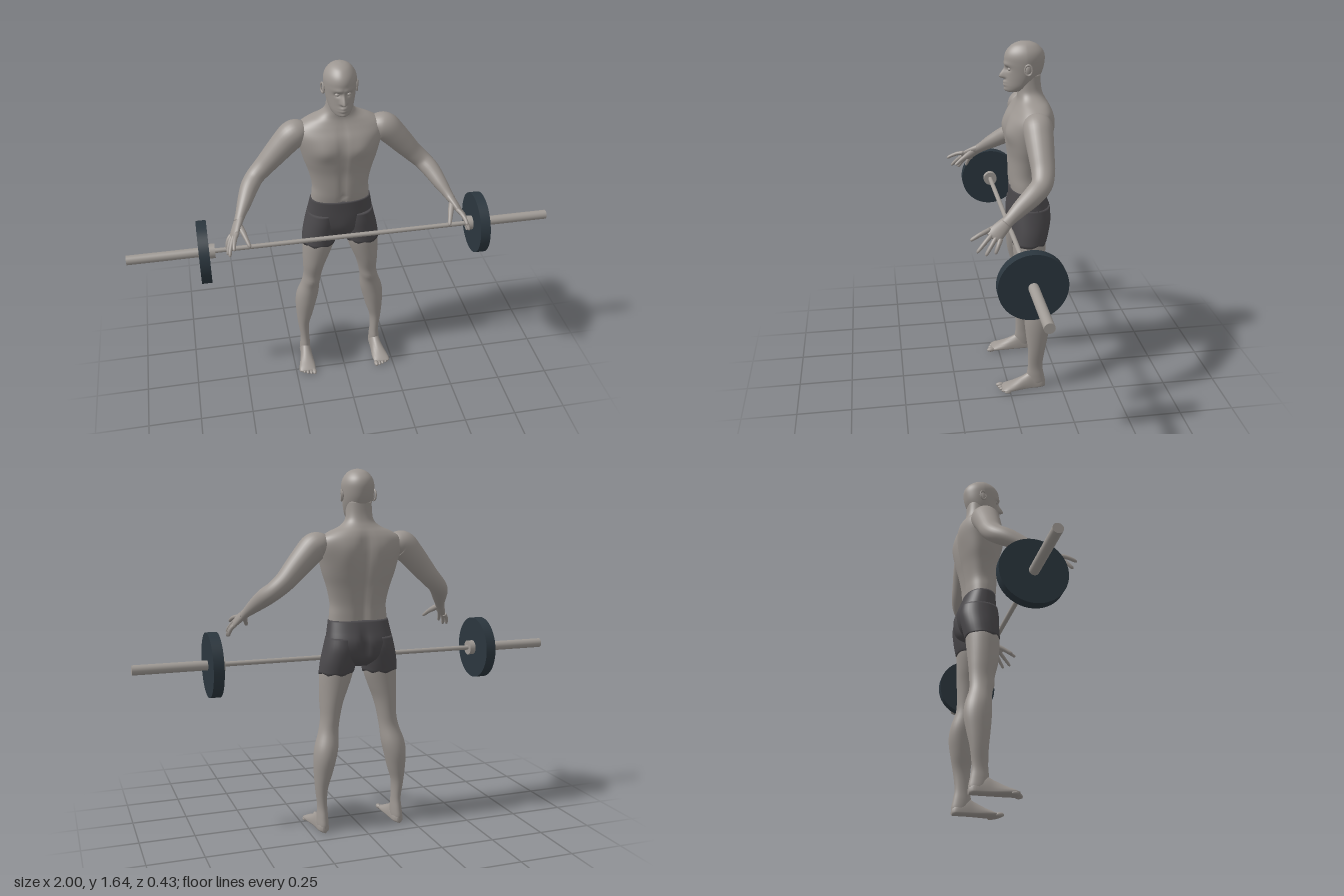
import * as THREE from 'three';

const mat = (name, color) => Object.assign(new THREE.MeshStandardMaterial({ color }), { name });
const bump = (d, w) => Math.exp(-((d / w) ** 2));

// Catmull-Rom interpolation between rows of numbers
function smoothRows(rows, steps) {
  const out = [];
  const last = rows.length - 1;
  const at = (i) => rows[Math.max(0, Math.min(last, i))];
  for (let i = 0; i < last; i++) {
    for (let s = 0; s < steps; s++) {
      const t = s / steps;
      out.push(rows[i].map((b, k) => {
        const a = at(i - 1)[k], c = at(i + 1)[k], d = at(i + 2)[k];
        return b + 0.5 * t * (c - a + t * (2 * a - 5 * b + 4 * c - d + t * (3 * (b - c) + d - a)));
      }));
    }
  }
  out.push(rows[last]);
  return out;
}

// Closed skin through rings of Vector3, always wound outwards
function skin(rings) {
  const n = rings[0].length, pos = [], idx = [];
  rings.forEach((r) => r.forEach((p) => pos.push(p.x, p.y, p.z)));
  for (let i = 0; i < rings.length - 1; i++) {
    for (let j = 0; j < n; j++) {
      const a = i * n + j, b = i * n + (j + 1) % n;
      idx.push(a, b, a + n, b, b + n, a + n);
    }
  }
  [0, rings.length - 1].forEach((r, end) => {
    const c = rings[r].reduce((s, p) => s.add(p), new THREE.Vector3()).divideScalar(n);
    const k = pos.length / 3;
    pos.push(c.x, c.y, c.z);
    for (let j = 0; j < n; j++) {
      const a = r * n + j, b = r * n + (j + 1) % n;
      if (end) idx.push(a, b, k); else idx.push(b, a, k);
    }
  });
  const v = (i) => new THREE.Vector3().fromArray(pos, i * 3);
  let volume = 0;
  for (let i = 0; i < idx.length; i += 3) volume += v(idx[i]).dot(v(idx[i + 1]).cross(v(idx[i + 2])));
  if (volume < 0) idx.reverse();
  const g = new THREE.BufferGeometry();
  g.setAttribute('position', new THREE.Float32BufferAttribute(pos, 3));
  g.setIndex(idx);
  g.computeVertexNormals();
  return g;
}

// Upright form from rows [y, centreX, centreZ, radiusX, radiusZ]
function upright(rows, { seg = 32, steps = 4, power = 1, sculpt } = {}) {
  return skin(smoothRows(rows, steps).map(([y, cx, cz, rx, rz]) =>
    Array.from({ length: seg }, (_, j) => {
      const a = (j / seg) * Math.PI * 2, c = Math.cos(a), s = Math.sin(a);
      const p = new THREE.Vector3(
        cx + rx * Math.sign(c) * Math.abs(c) ** power, y,
        cz + rz * Math.sign(s) * Math.abs(s) ** power);
      if (sculpt) sculpt(p, s);
      return p;
    })));
}

// Rows [y, halfWidth, zFront, zBack] to centred upright rows
const trunk = (rows) => rows.map(([y, w, f, b]) => [y, 0, (f + b) / 2, w, (f - b) / 2]);

// Limb along a path of rows [x, y, z, radiusA, radiusB]
function limb(rows, seg = 20, steps = 5) {
  const rs = smoothRows(rows, steps);
  const P = rs.map((r) => new THREE.Vector3(r[0], r[1], r[2]));
  return skin(rs.map((r, i) => {
    const t = P[Math.min(i + 1, P.length - 1)].clone().sub(P[Math.max(i - 1, 0)]).normalize();
    const u = t.clone().cross(new THREE.Vector3(0, 0, 1)).normalize();
    const w = t.clone().cross(u);
    return Array.from({ length: seg }, (_, j) => {
      const a = (j / seg) * Math.PI * 2;
      return P[i].clone().addScaledVector(u, Math.cos(a) * r[3]).addScaledVector(w, Math.sin(a) * r[4]);
    });
  }));
}

export function createModel() {
  const model = new THREE.Group();
  const skinMat = mat('skin', 0x9c9691), shortsMat = mat('shorts', 0x4b494c);
  const plateMat = mat('plate', 0x2b363e), steelMat = mat('steel', 0x9f9a95);
  const add = (name, geometry, material, parent = model) => {
    const m = new THREE.Mesh(geometry, material);
    m.name = name;
    parent.add(m);
    return m;
  };
  const ball = (name, parent, x, y, z, rx, ry, rz) => {
    const m = add(name, new THREE.SphereGeometry(1, 16, 12), skinMat, parent);
    m.position.set(x, y, z);
    m.scale.set(rx, ry, rz);
    return m;
  };

  // Torso and neck, with chest, navel line and spine
  add('torso', upright(trunk([
    [0.955, 0.136, -0.032, -0.172], [1.0, 0.134, -0.025, -0.174], [1.05, 0.131, -0.022, -0.178],
    [1.12, 0.146, -0.02, -0.19], [1.18, 0.166, -0.012, -0.204], [1.24, 0.182, -0.008, -0.214],
    [1.3, 0.197, -0.018, -0.217], [1.34, 0.187, -0.04, -0.21], [1.368, 0.145, -0.055, -0.198],
    [1.39, 0.095, -0.062, -0.184], [1.415, 0.066, -0.062, -0.172], [1.45, 0.058, -0.06, -0.165],
    [1.5, 0.056, -0.06, -0.163]]), {
    seg: 72, power: 0.88, sculpt: (p, s) => {
      const ax = Math.abs(p.x), body = THREE.MathUtils.smoothstep(1.4 - p.y, 0, 0.1);
      if (s > 0) {
        p.z += s * 0.014 * bump(ax - 0.085, 0.055) * bump(p.y - 1.25, 0.045);
        p.z -= s * 0.007 * bump(ax, 0.014) * body;
        p.z -= 0.008 * bump(ax, 0.01) * bump(p.y - 1.0, 0.01);
      } else {
        p.z += 0.016 * bump(ax, 0.025) * body;
        p.z += s * 0.006 * bump(ax - 0.09, 0.04) * bump(p.y - 1.28, 0.06);
      }
    },
  }), skinMat);

  // Head with brow, eye sockets, nose, lips and chin
  const head = new THREE.Group();
  head.name = 'head';
  model.add(head);
  add('skull', upright(trunk([
    [1.418, 0.02, -0.02, -0.06], [1.425, 0.036, -0.008, -0.085], [1.445, 0.051, -0.005, -0.125],
    [1.475, 0.061, -0.006, -0.155], [1.51, 0.068, -0.007, -0.172], [1.545, 0.072, -0.004, -0.18],
    [1.575, 0.072, -0.004, -0.181], [1.6, 0.064, -0.014, -0.172], [1.622, 0.047, -0.035, -0.15],
    [1.634, 0.028, -0.06, -0.125], [1.639, 0.006, -0.085, -0.1]]), {
    seg: 96, steps: 7, sculpt: (p, s) => {
      if (s <= 0) return;
      const ax = Math.abs(p.x), y = p.y;
      p.x *= 1 - 0.12 * s;
      const ridge = THREE.MathUtils.smoothstep(1.54 - y, 0, 0.055) * THREE.MathUtils.smoothstep(y, 1.473, 1.485);
      p.z += 0.027 * ridge * bump(ax, 0.006 + 0.007 * ridge);
      p.z -= s * 0.012 * bump(ax - 0.027, 0.015) * bump(y - 1.523, 0.01);
      p.z += s * 0.005 * bump(ax - 0.024, 0.025) * bump(y - 1.543, 0.01);
      p.z += s * 0.008 * bump(ax, 0.02) * (bump(y - 1.463, 0.006) + bump(y - 1.45, 0.006));
      p.z += s * 0.005 * bump(ax, 0.018) * bump(y - 1.43, 0.01);
    },
  }), skinMat, head);
  for (const s of [1, -1]) {
    ball('eye', head, s * 0.025, 1.522, -0.024, 0.011, 0.008, 0.01);
    ball('ear', head, s * 0.072, 1.522, -0.097, 0.006, 0.023, 0.013).rotation.x = -0.2;
    const rim = add('earRim', new THREE.TorusGeometry(0.016, 0.004, 8, 20), skinMat, head);
    rim.position.set(s * 0.076, 1.525, -0.098);
    rim.rotation.y = s * 1.3;
    rim.scale.y = 1.4;
  }

  // Shorts: hips with a cleft at the back
  add('shortsHips', upright(trunk([
    [0.975, 0.14, -0.026, -0.178], [0.93, 0.148, -0.025, -0.195], [0.88, 0.157, -0.024, -0.212],
    [0.83, 0.163, -0.028, -0.206], [0.795, 0.125, -0.04, -0.188], [0.765, 0.05, -0.06, -0.15]]), {
    seg: 64, power: 0.9, sculpt: (p, s) => {
      if (s < 0) p.z += 0.024 * bump(p.x, 0.018) * bump(p.y - 0.85, 0.07);
      else p.z += 0.004 * bump(p.x, 0.03) * bump(p.y - 0.84, 0.04);
    },
  }), shortsMat);

  for (const s of [1, -1]) {
    const side = s > 0 ? 'left' : 'right';
    const flip = (rows) => rows.map(([x, ...r]) => [s * x, ...r]);
    const flipLeg = (rows) => rows.map(([y, x, ...r]) => [y, s * x, ...r]);

    // Shorts leg with a slightly uneven hem
    add(side + 'ShortsLeg', upright(flipLeg([
      [0.9, 0.082, -0.113, 0.072, 0.084], [0.85, 0.087, -0.114, 0.079, 0.09],
      [0.79, 0.097, -0.11, 0.082, 0.085], [0.735, 0.105, -0.103, 0.08, 0.079]]), {
      sculpt: (p) => { if (p.y < 0.74) p.y += 0.005 * Math.sin(p.x * 90 + p.z * 60); },
    }), shortsMat);

    // Bare leg from thigh to heel
    add(side + 'Leg', upright(flipLeg([
      [0.76, 0.102, -0.105, 0.077, 0.077], [0.72, 0.108, -0.103, 0.075, 0.076],
      [0.66, 0.119, -0.103, 0.065, 0.072], [0.6, 0.13, -0.105, 0.053, 0.066],
      [0.53, 0.138, -0.112, 0.044, 0.055], [0.47, 0.148, -0.118, 0.045, 0.051],
      [0.4, 0.162, -0.131, 0.054, 0.059], [0.34, 0.172, -0.135, 0.051, 0.06],
      [0.27, 0.18, -0.133, 0.041, 0.051], [0.2, 0.187, -0.13, 0.028, 0.04],
      [0.12, 0.183, -0.126, 0.022, 0.035], [0.07, 0.183, -0.127, 0.025, 0.041],
      [0.03, 0.184, -0.132, 0.026, 0.043], [0.004, 0.184, -0.132, 0.02, 0.036]]), {
      sculpt: (p, f) => { if (f > 0) p.z += 0.007 * f * bump(p.y - 0.5, 0.025); },
    }), skinMat);

    // Foot: arched rings from heel to ball, then toes
    add(side + 'Foot', skin(smoothRows([
      [-0.174, 0.184, 0.01, 0.035], [-0.155, 0.184, 0.025, 0.06], [-0.11, 0.184, 0.028, 0.085],
      [-0.07, 0.186, 0.031, 0.066], [-0.02, 0.19, 0.039, 0.042], [0.015, 0.193, 0.041, 0.028],
      [0.035, 0.192, 0.034, 0.016]], 4).map(([z, cx, w, h]) => Array.from({ length: 20 }, (_, j) => {
      const a = (j / 20) * Math.PI * 2, up = Math.sin(a);
      return new THREE.Vector3(s * (cx + w * Math.cos(a)), up > 0 ? 0.014 + (h - 0.014) * up : 0.014 + 0.014 * up, z);
    }))), skinMat);
    for (let i = 0; i < 5; i++) {
      const r = i ? 0.008 : 0.011;
      ball(side + 'Toe', model, s * (0.162 + i * 0.0165), r, 0.042 - i * i * 0.0018, r, r, i ? 0.016 : 0.02);
    }

    // Arm from shoulder to wrist
    add(side + 'Arm', limb(flip([
      [0.15, 1.312, -0.122, 0.035, 0.045], [0.18, 1.313, -0.12, 0.054, 0.06],
      [0.21, 1.302, -0.117, 0.063, 0.064], [0.25, 1.262, -0.117, 0.059, 0.061],
      [0.3, 1.206, -0.117, 0.052, 0.055], [0.345, 1.156, -0.116, 0.045, 0.05],
      [0.388, 1.116, -0.102, 0.041, 0.045], [0.42, 1.085, -0.063, 0.04, 0.043],
      [0.45, 1.045, -0.005, 0.032, 0.035], [0.475, 1.01, 0.042, 0.022, 0.026],
      [0.488, 0.992, 0.066, 0.019, 0.026]]), 28), skinMat);

    // Hand: palm, spread fingers and thumb
    const hand = new THREE.Group();
    hand.name = side + 'Hand';
    model.add(hand);
    add('palm', limb(flip([
      [0.478, 1.005, 0.05, 0.018, 0.024], [0.495, 0.983, 0.08, 0.017, 0.031],
      [0.511, 0.96, 0.11, 0.014, 0.034], [0.519, 0.948, 0.124, 0.008, 0.028]])), skinMat, hand);
    [[0.548, 0.89, 0.115], [0.548, 0.884, 0.155], [0.541, 0.897, 0.19], [0.521, 0.944, 0.214]].forEach((tip, i) => {
      const k = (i - 1.5) / 1.5;
      const root = [0.511 - 0.013 * k, 0.96 + 0.017 * k, 0.11 + 0.02 * k];
      const at = (t, r) => [...root.map((v, n) => v + (tip[n] - v) * t + (n < 2 ? 0.02 * t * (1 - t) : 0)), r, r];
      add('finger', limb(flip([at(0, 0.01), at(0.35, 0.0095), at(0.7, 0.0085), at(0.93, 0.007), at(1, 0.002)]), 12, 3), skinMat, hand);
    });
    add('thumb', limb(flip([
      [0.488, 0.99, 0.075, 0.013, 0.015], [0.474, 0.972, 0.11, 0.013, 0.014], [0.462, 0.952, 0.145, 0.01, 0.01],
      [0.452, 0.933, 0.172, 0.008, 0.008], [0.449, 0.928, 0.18, 0.002, 0.002]]), 12, 3), skinMat, hand);
  }

  // Barbell: thin bar, collars, plates and sleeves
  const barbell = new THREE.Group();
  barbell.name = 'barbell';
  barbell.position.set(0, 0.79, -0.02);
  model.add(barbell);
  const rod = (name, x0, x1, r, material, seg = 32) => {
    const m = add(name, new THREE.CylinderGeometry(r, r, Math.abs(x1 - x0), seg), material, barbell);
    m.rotation.z = Math.PI / 2;
    m.position.x = (x0 + x1) / 2;
  };
  rod('bar', -0.62, 0.62, 0.011, steelMat);
  for (const s of [1, -1]) {
    rod('collar', s * 0.6, s * 0.627, 0.034, steelMat);
    rod('plate', s * 0.627, s * 0.674, 0.145, plateMat, 64);
    rod('sleeve', s * 0.62, s, 0.022, steelMat);
  }
  return model;
}
